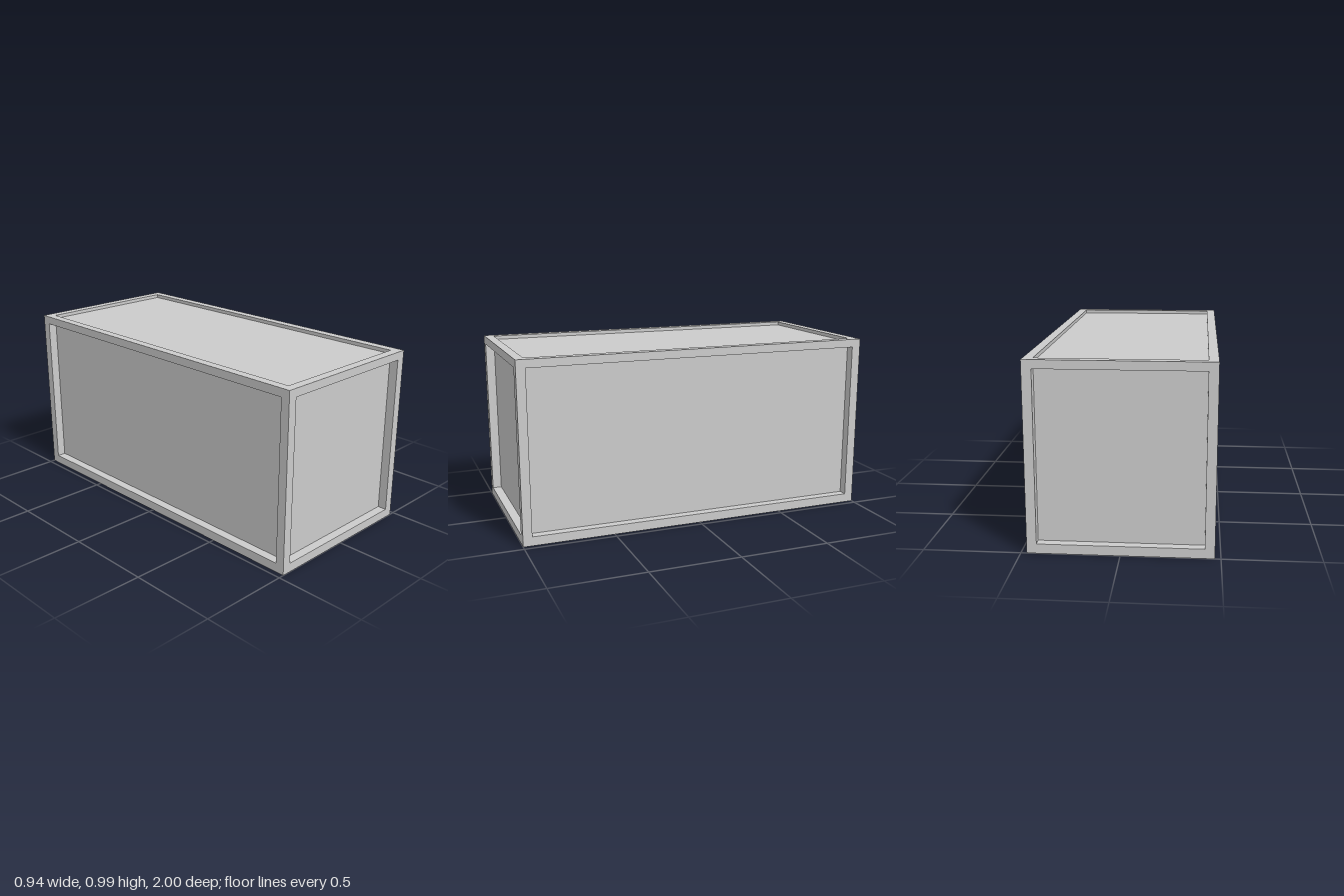
import * as THREE from 'three';

const W = 0.94, H = 0.985, D = 2; // overall size
const BAR = 0.05;                 // frame bar width
const LIP = 0.045;                // height of the top lip
const RIM = 0.02;                 // thickness of the top rim
const SKIN = 0.004;               // thickness of the lip plates

export function createModel() {
  const group = new THREE.Group();
  const material = new THREE.MeshStandardMaterial({ color: 0xcccccc });

  const add = (name, geometry, x, y, z) => {
    const mesh = new THREE.Mesh(geometry, material);
    mesh.name = name;
    mesh.position.set(x, y, z);
    group.add(mesh);
    return mesh;
  };
  const box = (name, w, h, d, x, y, z) =>
    add(name, new THREE.BoxGeometry(w, h, d), x, y + h / 2, z);

  // Solid base whose edge forms the lower ledge of every side
  box('base', W, BAR, D, 0, 0, 0);

  // Recessed body: the side panels and the top panel
  box('recessedBody', W - 2 * BAR, H - RIM - BAR, D - 2 * BAR, 0, BAR, 0);

  // Corner posts
  for (const sx of [-1, 1]) {
    for (const sz of [-1, 1]) {
      box('cornerPost', BAR, H - RIM - BAR, BAR,
        sx * (W - BAR) / 2, BAR, sz * (D - BAR) / 2);
    }
  }

  // Top rim: a flat rectangular ring around the top panel
  const ring = new THREE.Shape([
    new THREE.Vector2(-W / 2, -D / 2), new THREE.Vector2(W / 2, -D / 2),
    new THREE.Vector2(W / 2, D / 2), new THREE.Vector2(-W / 2, D / 2),
  ]);
  const ix = W / 2 - BAR, iz = D / 2 - BAR;
  ring.holes.push(new THREE.Path([
    new THREE.Vector2(-ix, -iz), new THREE.Vector2(-ix, iz),
    new THREE.Vector2(ix, iz), new THREE.Vector2(ix, -iz),
  ]));
  const rim = new THREE.ExtrudeGeometry(ring, { depth: RIM, bevelEnabled: false });
  rim.rotateX(-Math.PI / 2);
  add('topRim', rim, 0, H - RIM, 0);

  // Thin lips hanging from the rim between the posts
  for (const s of [-1, 1]) {
    box('endLip', W - 2 * BAR, LIP - RIM, SKIN, 0, H - LIP, s * (D - SKIN) / 2);
    box('sideLip', SKIN, LIP - RIM, D - 2 * BAR, s * (W - SKIN) / 2, H - LIP, 0);
  }

  return group;
}
